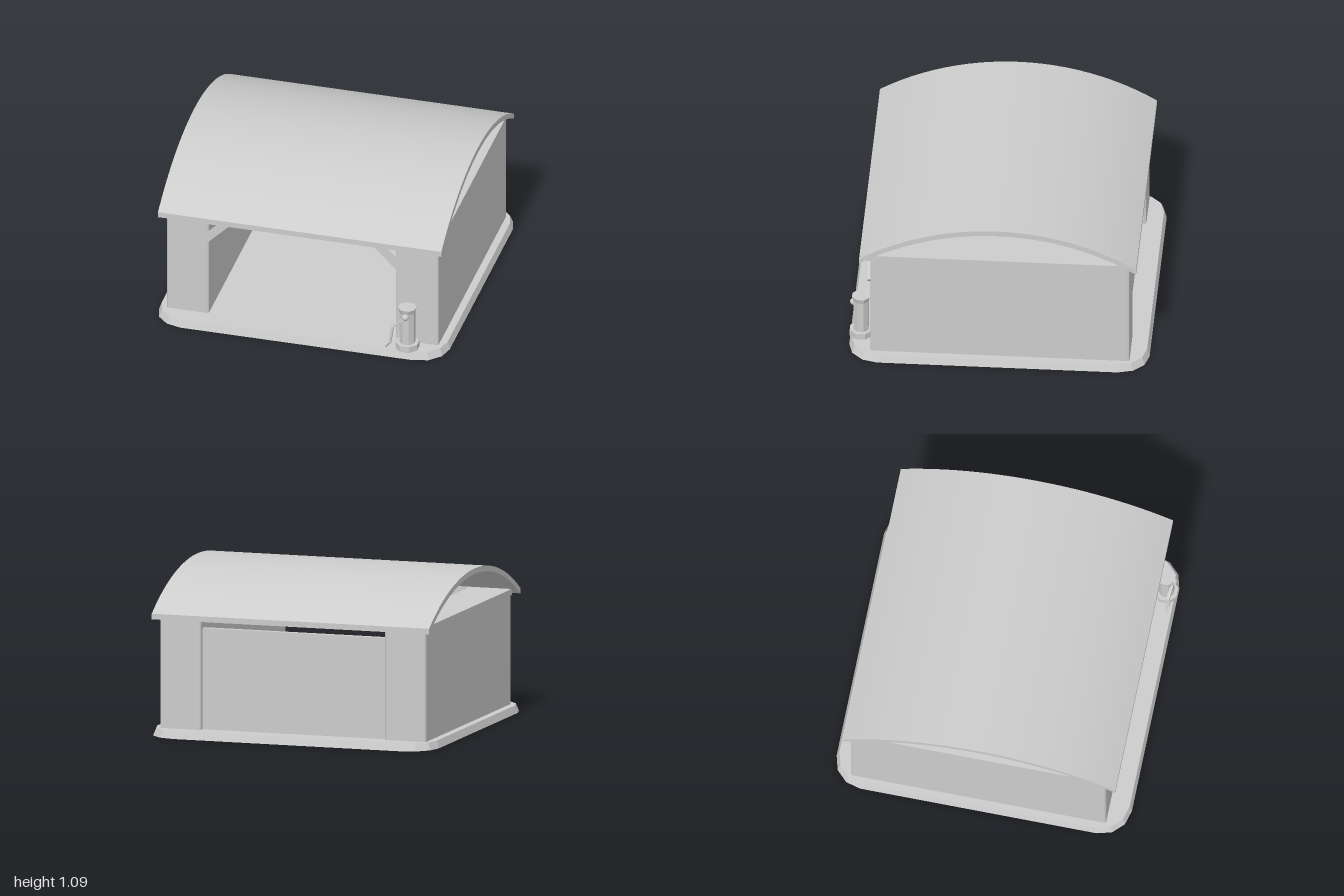
import * as THREE from 'three';
import { toCreasedNormals } from 'three/addons/utils/BufferGeometryUtils.js';

export function createModel() {
  const model = new THREE.Group();
  model.name = 'openShelter';
  const grey = new THREE.MeshStandardMaterial({ color: 0xcccccc });
  grey.name = 'plain grey';

  const add = (name, geometry, x = 0, y = 0, z = 0, parent = model) => {
    const mesh = new THREE.Mesh(geometry, grey);
    mesh.name = name;
    mesh.position.set(x, y, z);
    parent.add(mesh);
    return mesh;
  };
  const box = (w, h, d) => new THREE.BoxGeometry(w, h, d);

  // Upright prism over a rectangle whose corners are cut by a few segments
  const cutPrism = (halfX, halfZ, radius, steps, height) => {
    const points = [];
    for (let q = 0; q < 4; q++) {
      const sx = q === 0 || q === 3 ? 1 : -1;
      const sz = q < 2 ? 1 : -1;
      for (let i = 0; i <= steps; i++) {
        const a = (q + i / steps) * Math.PI / 2;
        points.push(new THREE.Vector2(
          sx * (halfX - radius) + radius * Math.cos(a),
          sz * (halfZ - radius) + radius * Math.sin(a)));
      }
    }
    return new THREE.ExtrudeGeometry(new THREE.Shape(points), { depth: height, bevelEnabled: false })
      .rotateX(-Math.PI / 2);
  };

  // Floor slab, slightly narrower at the top
  const slab = cutPrism(1, 1, 0.2, 3, 0.05);
  const p = slab.attributes.position;
  for (let i = 0; i < p.count; i++) {
    if (p.getY(i) > 0.02) p.setXYZ(i, p.getX(i) * 0.983, p.getY(i), p.getZ(i) * 0.983);
  }
  slab.computeVertexNormals();
  add('floorSlab', slab);

  // Thick side walls and the lower, recessed back wall
  for (const s of [1, -1]) {
    add(s > 0 ? 'leftWall' : 'rightWall', cutPrism(0.145, 0.863, 0.014, 2, 0.77), s * 0.79, 0.05, -0.012);
  }
  add('backWall', box(1.32, 0.68, 0.04), 0, 0.39, -0.82);

  // Arched roof, its outline drawn across the depth
  const R = 1.719, half = 0.922, steps = 24;
  const arch = (z) => 1.09 - R + Math.sqrt(R * R - z * z);
  const outline = [];
  const sweep = Math.asin(half / R);
  for (let i = 0; i <= steps; i++) {
    const z = R * Math.sin(sweep * (2 * i / steps - 1));
    outline.push(new THREE.Vector2(z, arch(z) - 0.038));
  }
  for (let i = steps; i >= 0; i--) {
    outline.push(new THREE.Vector2(outline[i].x, outline[i].y + 0.038));
  }
  const roof = new THREE.ExtrudeGeometry(new THREE.Shape(outline), { depth: 1.95, bevelEnabled: false })
    .translate(0, 0, -0.975).rotateY(Math.PI / 2);
  add('roof', toCreasedNormals(roof, 0.5));

  // Front beam and its diagonal braces
  add('frontBeam', box(1.86, 0.045, 0.045), 0, 0.798, 0.857);
  for (const s of [1, -1]) {
    const brace = add(s > 0 ? 'leftBrace' : 'rightBrace', box(0.45, 0.05, 0.034), s * 0.623, 0.672, 0.863);
    brace.rotation.z = -s * Math.PI / 4;
  }

  // Water pump beside the opening
  const pump = new THREE.Group();
  pump.name = 'waterPump';
  pump.position.set(0.742, 0.05, 0.925);
  model.add(pump);
  const eighth = (g) => {
    const flat = g.rotateY(Math.PI / 8).toNonIndexed();
    flat.computeVertexNormals();
    return flat;
  };
  add('pumpFoot', eighth(new THREE.CylinderGeometry(0.08, 0.08, 0.045, 8)), 0, 0.0225, 0, pump);
  const body = [[0, 0.04], [0.054, 0.04], [0.054, 0.275], [0.064, 0.31], [0, 0.31]]
    .map(([r, y]) => new THREE.Vector2(r, y));
  add('pumpBody', eighth(new THREE.LatheGeometry(body, 8)), 0, 0, 0, pump);
  add('pumpPivot', new THREE.SphereGeometry(0.024, 12, 8), 0, 0.257, 0.05, pump);

  // Bent pump handle made of short bars
  const bend = [[-0.01, 0.245, 0.045], [-0.095, 0.155, 0.03], [-0.11, 0.045, 0.03], [-0.14, 0.012, 0.04]]
    .map((c) => new THREE.Vector3(...c));
  for (let i = 0; i < bend.length - 1; i++) {
    const dir = bend[i + 1].clone().sub(bend[i]);
    const mid = bend[i].clone().add(bend[i + 1]).multiplyScalar(0.5);
    const bar = add('pumpHandle', box(0.016, dir.length() + 0.008, 0.02), mid.x, mid.y, mid.z, pump);
    bar.quaternion.setFromUnitVectors(new THREE.Vector3(0, 1, 0), dir.normalize());
  }

  return model;
}
